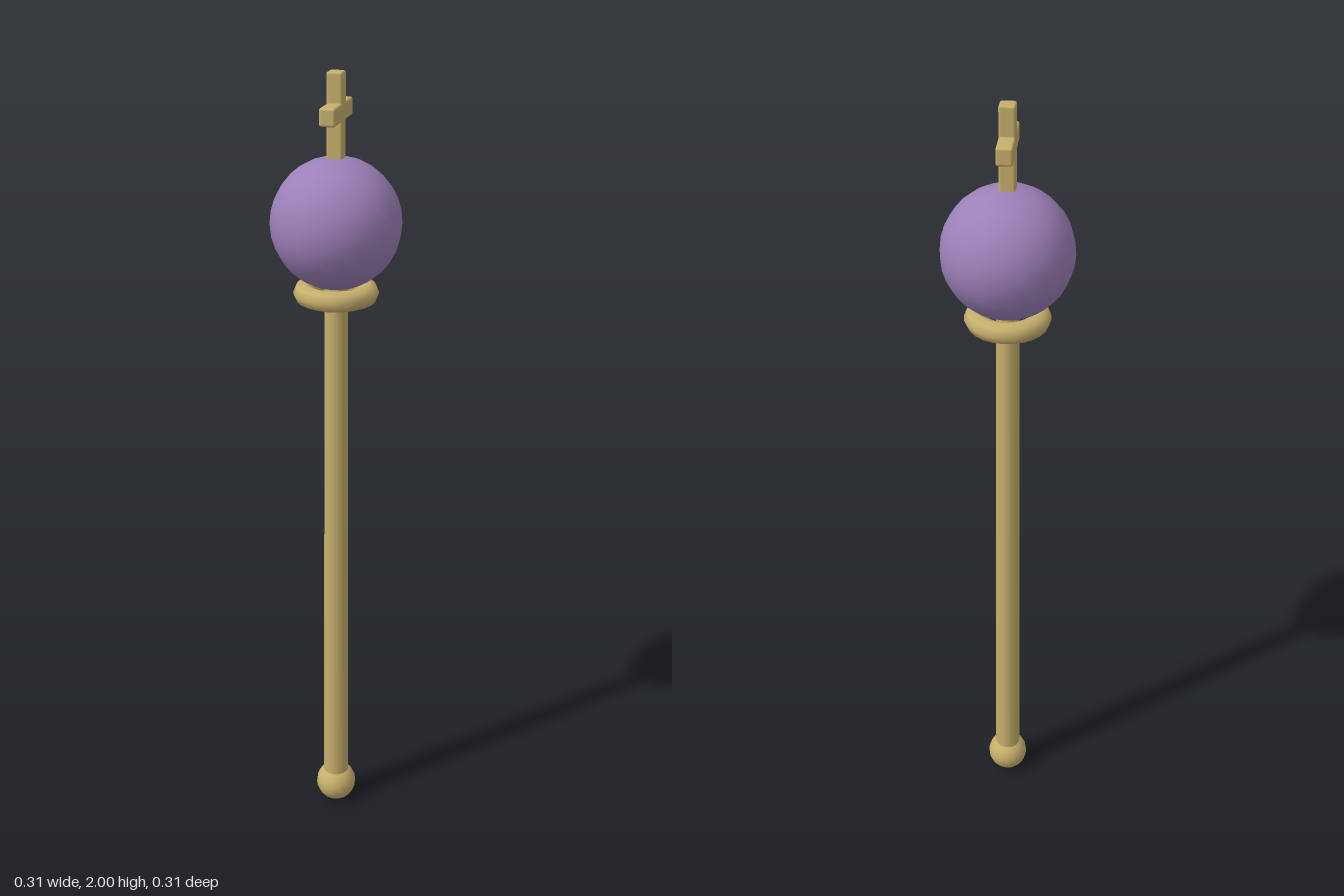
import * as THREE from 'three';
import { RoundedBoxGeometry } from 'three/addons/geometries/RoundedBoxGeometry.js';

export function createModel() {
  const gold = new THREE.MeshStandardMaterial({ color: 0xc6b06c });
  gold.name = 'gold';
  const purple = new THREE.MeshStandardMaterial({ color: 0x9c80b8 });
  purple.name = 'purple';

  const group = new THREE.Group();
  group.name = 'scepter';
  const add = (name, geometry, material, y, parent = group) => {
    const mesh = new THREE.Mesh(geometry, material);
    mesh.name = name;
    mesh.position.y = y;
    parent.add(mesh);
    return mesh;
  };

  // Handle: round pommel and slightly tapered shaft
  add('pommel', new THREE.SphereGeometry(0.054, 16, 12), gold, 0.054);
  add('shaft', new THREE.CylinderGeometry(0.028, 0.034, 1.43, 14), gold, 0.785);

  // Ring under the orb
  const ring = new THREE.TorusGeometry(0.077, 0.026, 8, 24);
  ring.rotateX(Math.PI / 2);
  add('collar', ring, gold, 1.484);

  // Orb
  add('orb', new THREE.SphereGeometry(0.156, 20, 16), purple, 1.652);

  // Cross, with its arms along z
  const cross = new THREE.Group();
  cross.name = 'cross';
  group.add(cross);
  add('crossUpright', new RoundedBoxGeometry(0.038, 0.21, 0.038, 2, 0.006), gold, 1.895, cross);
  add('crossArms', new RoundedBoxGeometry(0.038, 0.042, 0.163, 2, 0.006), gold, 1.91, cross);

  return group;
}
